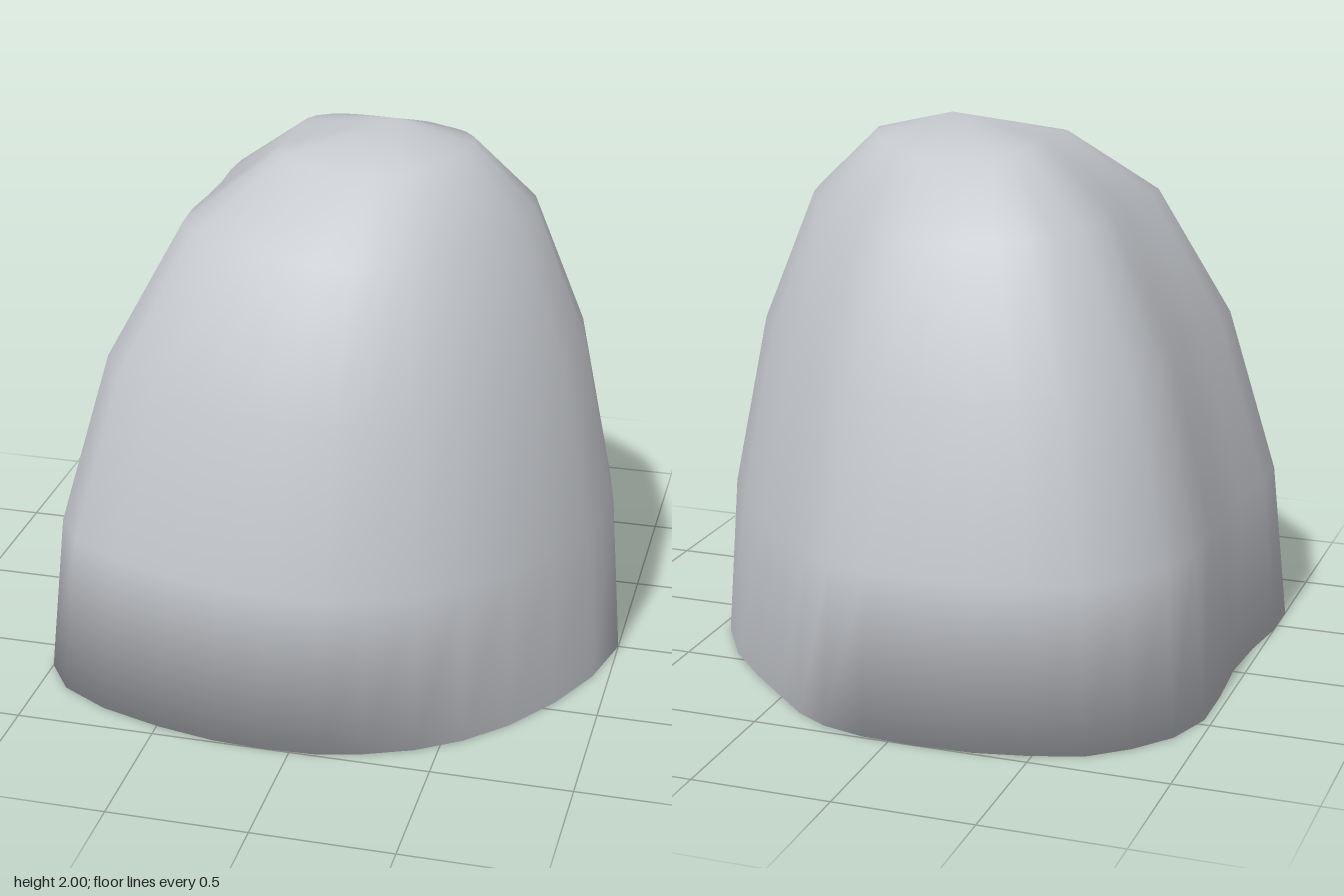
import * as THREE from 'three';

// Base outline as (x, z), counter-clockwise seen from above
const OUTLINE = [
  [1, 0], [0.95, -0.24], [0.82, -0.45], [0.66, -0.62], [0.51, -0.76], [0.38, -0.88], [0.26, -0.95], [0.1, -0.99],
  [-0.1, -1], [-0.3, -0.99], [-0.49, -0.95], [-0.67, -0.89], [-0.8, -0.78], [-0.91, -0.64], [-0.97, -0.46], [-0.97, -0.24],
  [-0.955, 0], [-0.97, 0.24], [-1, 0.45], [-1, 0.64], [-0.9, 0.78], [-0.72, 0.88], [-0.49, 0.95], [-0.28, 0.99],
  [-0.1, 1], [0.1, 0.99], [0.25, 0.95], [0.42, 0.88], [0.57, 0.78], [0.71, 0.64], [0.84, 0.45], [0.94, 0.24],
];

// Rings: [scale of the outline, height, extra height on the x sides]
const RINGS = [
  [1, 0, 0], [0.951, 0.59, 0.012], [0.805, 1.205, 0.03], [0.587, 1.68, 0.03], [0.325, 1.91, 0.02],
];
const APEX = [0.13, 2, 0];

function domeGeometry() {
  const n = OUTLINE.length;
  const positions = [];
  const index = [];

  // Shrinking sections that lean towards the apex
  for (const [s, y, lift] of RINGS) {
    for (const [x, z] of OUTLINE) {
      const side = Math.cos(2 * Math.atan2(z, x));
      positions.push(x * s + APEX[0] * (1 - s), y + lift * side, z * s);
    }
  }
  const top = positions.length / 3;
  positions.push(...APEX);

  // Walls and crown
  for (let i = 0; i < RINGS.length; i++) {
    for (let j = 0; j < n; j++) {
      const a = i * n + j;
      const b = i * n + ((j + 1) % n);
      if (i === RINGS.length - 1) index.push(a, b, top);
      else index.push(a, b, b + n, a, b + n, a + n);
    }
  }
  // Flat underside, sharing the rim so shading rolls over the edge
  for (let j = 1; j < n - 1; j++) index.push(0, j + 1, j);

  const geometry = new THREE.BufferGeometry();
  geometry.setAttribute('position', new THREE.Float32BufferAttribute(positions, 3));
  geometry.setIndex(index);
  geometry.computeVertexNormals();
  return geometry;
}

export function createModel() {
  const group = new THREE.Group();
  group.name = 'roundedDome';

  const grey = new THREE.MeshStandardMaterial({ color: 0xc4c7cc });
  grey.name = 'paleGrey';

  const dome = new THREE.Mesh(domeGeometry(), grey);
  dome.name = 'dome';
  group.add(dome);
  return group;
}
